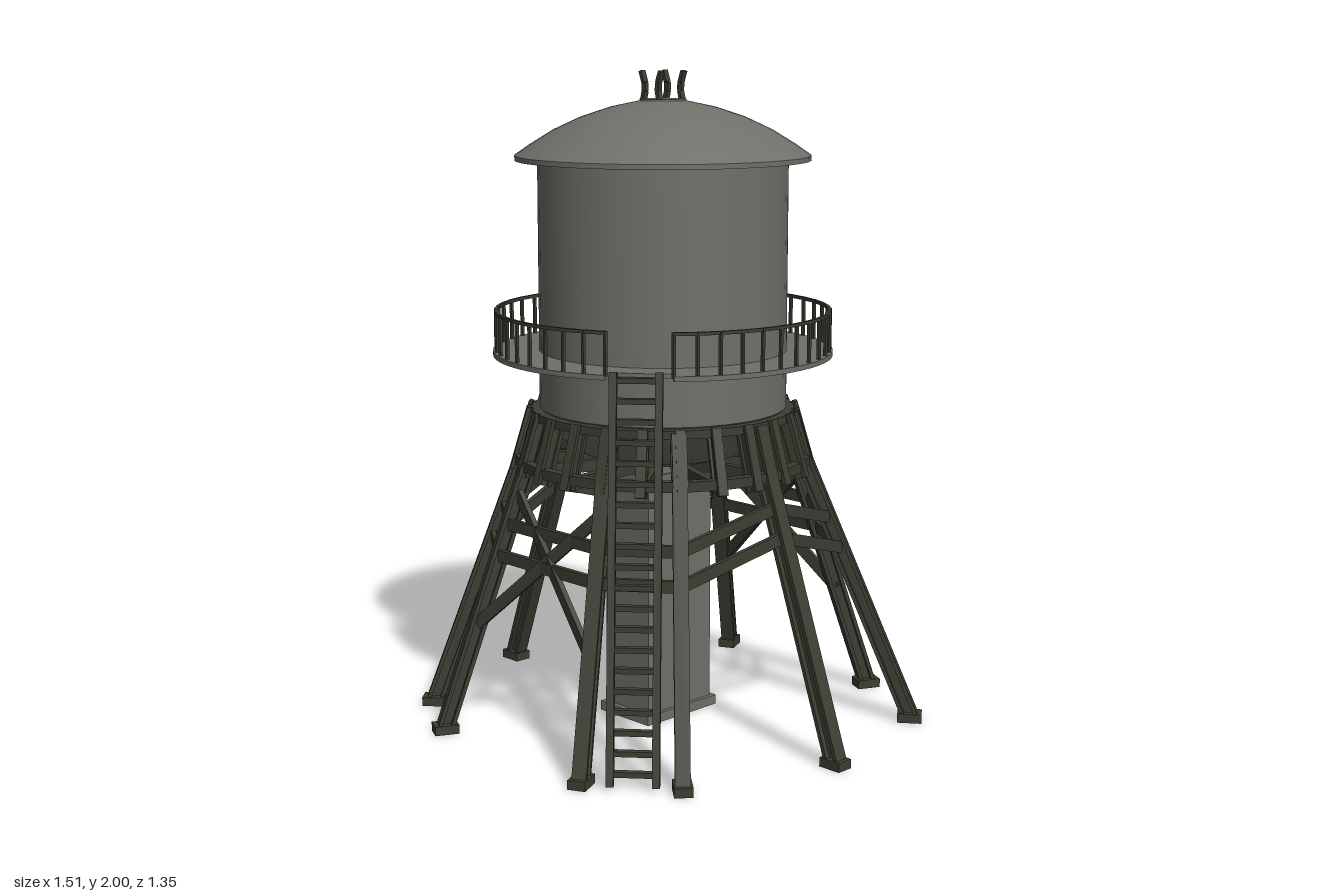
import * as THREE from 'three';
import { mergeGeometries, toCreasedNormals } from 'three/addons/utils/BufferGeometryUtils.js';

const paint = (name, color) => {
  const m = new THREE.MeshStandardMaterial({ color });
  m.name = name;
  return m;
};
const V = (x, y, z) => new THREE.Vector3(x, y, z);
const polar = (a, r, y) => V(Math.cos(a) * r, y, Math.sin(a) * r);
const rad = THREE.MathUtils.degToRad;

// Turns a geometry lying along +z so that it runs from a towards b
function aim(geo, a, b) {
  const dir = b.clone().sub(a).normalize();
  const up = Math.abs(dir.y) > 0.999 ? V(0, 0, 1) : V(0, 1, 0);
  const side = up.cross(dir).normalize();
  const m = new THREE.Matrix4().makeBasis(side, dir.clone().cross(side), dir);
  return geo.applyMatrix4(m.setPosition(a));
}
const bar = (a, b, w, h) => {
  const len = a.distanceTo(b);
  return aim(new THREE.BoxGeometry(w, h, len).translate(0, 0, len / 2), a, b);
};
// I-section beam
function beam(a, b, w, h) {
  const f = 0.012, t = 0.014, x = w / 2, y = h / 2;
  const pts = [[-x, -y], [x, -y], [x, f - y], [t / 2, f - y], [t / 2, y - f], [x, y - f],
    [x, y], [-x, y], [-x, y - f], [-t / 2, y - f], [-t / 2, f - y], [-x, f - y]];
  const shape = new THREE.Shape(pts.map(([u, v]) => new THREE.Vector2(u, v)));
  return aim(new THREE.ExtrudeGeometry(shape, { depth: a.distanceTo(b), bevelEnabled: false }), a, b);
}
const box = (w, h, d, x, y, z) => new THREE.BoxGeometry(w, h, d).translate(x, y, z);
const lathe = pts => toCreasedNormals(
  new THREE.LatheGeometry(pts.map(([r, y]) => new THREE.Vector2(r, y)), 48), 0.5);

export function createModel() {
  const model = new THREE.Group();
  const tankGray = paint('tank gray', 0x70706a);
  const steel = paint('dark olive steel', 0x3c3d32);
  const add = (name, geos, mat) => {
    const list = [geos].flat().map(g => (g.index ? g.toNonIndexed() : g));
    const mesh = new THREE.Mesh(list.length > 1 ? mergeGeometries(list) : list[0], mat);
    mesh.name = name;
    model.add(mesh);
  };

  // Tank with dished bottom, and domed roof
  add('tank', lathe([[0, 0.81], [0.16, 0.82], [0.26, 0.85], [0.33, 0.9], [0.375, 0.98],
    [0.38, 0.985], [0.38, 1.74]]), tankGray);
  add('roof', lathe([[0.375, 1.735], [0.448, 1.735], [0.448, 1.75], [0.4, 1.783], [0.33, 1.826],
    [0.25, 1.863], [0.16, 1.893], [0.07, 1.912], [0, 1.917]]), tankGray);
  add('roofCap', new THREE.CylinderGeometry(0.07, 0.072, 0.01, 24).translate(0, 1.912, 0), tankGray);

  // Four curved hooks on the roof
  const hooks = [];
  for (const sx of [-1, 1]) for (const sz of [-1, 1]) {
    const path = [[0.036, 1.91], [0.028, 1.94], [0.029, 1.965], [0.042, 2.0]];
    for (let i = 0; i < 3; i++) {
      const [p, q] = [path[i], path[i + 1]].map(([x, y]) => V(sx * x, y, sz * 0.047));
      hooks.push(bar(p, q, 0.018, 0.012));
    }
  }
  add('roofHooks', hooks, steel);

  // Balcony deck, notched where the ladder arrives
  const g0 = rad(41), g1 = rad(63);
  const deck = new THREE.Shape();
  deck.absarc(0, 0, 0.52, g1, g0 + Math.PI * 2, false);
  deck.absarc(0, 0, 0.47, g0, g1, false);
  deck.closePath();
  const hole = new THREE.Path();
  hole.absarc(0, 0, 0.375, 0, Math.PI * 2, true);
  deck.holes.push(hole);
  const deckGeo = new THREE.ExtrudeGeometry(deck, { depth: 0.015, bevelEnabled: false, curveSegments: 48 });
  add('balconyDeck', deckGeo.rotateX(Math.PI / 2).translate(0, 1.16, 0), tankGray);

  // Railing around the balcony, open at the ladder
  const rails = [], n = 44, sweep = Math.PI * 2 - (g1 - g0);
  for (let i = 0; i <= n; i++) {
    const a = g1 + sweep * i / n, b = g1 + sweep * (i + 1) / n;
    rails.push(bar(polar(a, 0.51, 1.155), polar(a, 0.51, 1.285), 0.009, 0.009));
    if (i < n) rails.push(bar(polar(a, 0.51, 1.28), polar(b, 0.51, 1.28), 0.01, 0.01));
  }
  add('railing', rails, steel);

  // Cradle ring under the tank
  const cradle = [], posts = 24;
  for (let i = 0; i < posts; i++) {
    const a = Math.PI * 2 * (i + 0.5) / posts, b = a + Math.PI * 2 / posts;
    cradle.push(beam(polar(a, 0.45, 0.79), polar(a, 0.395, 0.98), 0.03, 0.05));
    cradle.push(bar(polar(a, 0.39, 0.968), polar(b, 0.39, 0.968), 0.035, 0.025));
    cradle.push(bar(polar(a, 0.445, 0.825), polar(b, 0.445, 0.825), 0.03, 0.03));
    if (i % 2) cradle.push(bar(polar(a, 0.1, 0.81), polar(a, 0.45, 0.81), 0.025, 0.035));
  }
  add('cradleRing', cradle, steel);

  // Central column with base and cap plates
  add('centralColumn', [box(0.19, 0.82, 0.27, -0.02, 0.41, 0), box(0.215, 0.03, 0.3, -0.02, 0.015, 0),
    box(0.205, 0.03, 0.285, -0.02, 0.77, 0)], tankGray);

  // Splayed legs in order around the ring: foot x, foot z, angle of the top
  const legs = [[0.72, 0, 0], [0.55, 0.46, 38], [0.31, 0.63, 67], [-0.31, 0.63, 113], [-0.54, 0.49, 142],
    [-0.72, 0, 180], [-0.54, -0.49, 218], [-0.31, -0.63, 247], [0.31, -0.63, 293], [0.62, -0.47, 323]]
    .map(([x, z, deg]) => ({ foot: V(x, 0.02, z), top: polar(rad(deg), 0.44, 0.82), a: rad(deg) }));
  const at = (leg, y) => leg.foot.clone().lerp(leg.top, (y - 0.02) / 0.8);
  const legGeos = [], feet = [], braces = [];
  legs.forEach((leg, i) => {
    legGeos.push(beam(leg.foot, leg.top, 0.044, 0.05));
    legGeos.push(beam(leg.top, polar(leg.a, 0.395, 0.97), 0.044, 0.05));
    feet.push(new THREE.BoxGeometry(0.075, 0.028, 0.055)
      .rotateY(-Math.atan2(leg.foot.z, leg.foot.x)).translate(leg.foot.x, 0.014, leg.foot.z));
    // Two horizontal ties to the next leg, higher at the side legs
    const j = (i + 1) % 10, next = legs[j];
    for (const [side, other] of [[0.65, 0.55], [0.735, 0.645]]) {
      const p = at(leg, i % 5 ? other : side), q = at(next, j % 5 ? other : side);
      braces.push(bar(p, q, 0.016, 0.036));
    }
    // Cross bracing at front and back
    if (i === 2 || i === 7) {
      braces.push(bar(at(leg, 0.34), at(next, 0.74), 0.016, 0.036));
      braces.push(bar(at(next, 0.34), at(leg, 0.74), 0.016, 0.036));
    }
  });
  add('legs', legGeos, steel);
  add('feet', feet, steel);
  add('braces', braces, steel);

  // Ladder leaning up to the balcony
  const low = V(0.435, 0.01, 0.545), high = V(0.285, 1.165, 0.385);
  const half = V(0.05, 0, -0.043), ladder = [];
  for (const s of [-1, 1]) {
    const off = half.clone().multiplyScalar(s);
    ladder.push(bar(low.clone().add(off), high.clone().add(off), 0.022, 0.04));
  }
  for (let i = 0; i < 20; i++) {
    const c = low.clone().lerp(high, (i + 0.6) / 20);
    ladder.push(bar(c.clone().sub(half), c.clone().add(half), 0.02, 0.016));
  }
  add('ladder', ladder, steel);
  return model;
}
